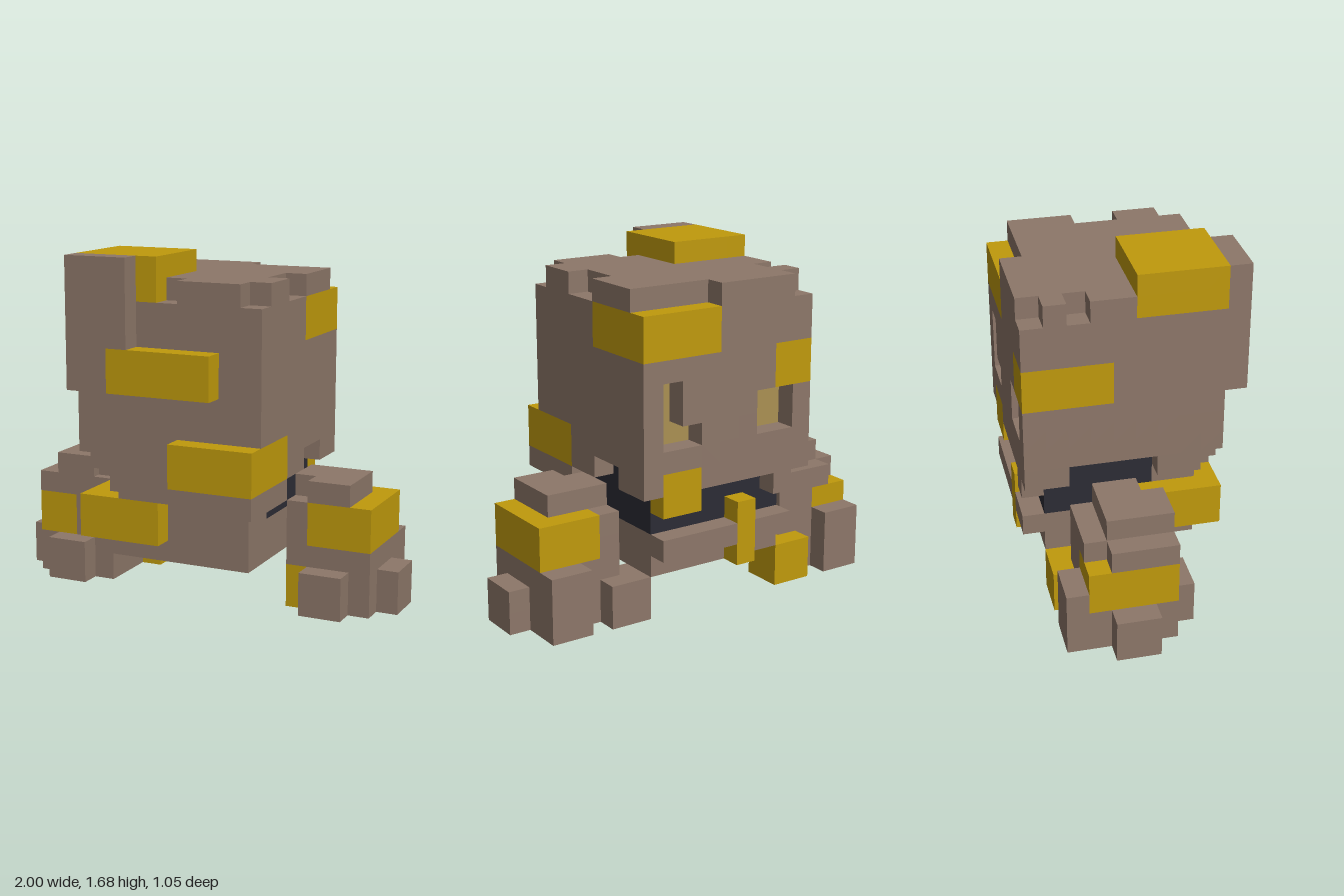
import * as THREE from 'three';

const U = 2 / 19; // size of one block

const mat = (name, color) => {
  const m = new THREE.MeshStandardMaterial({ color });
  m.name = name;
  return m;
};

// Face axes: each axis is paired with the next two as tangents
const axis = (i) => [0, 1, 2].map((k) => (k === i ? 1 : 0));
const FACES = [0, 1, 2].flatMap((i) => {
  const n = axis(i), a = axis((i + 1) % 3), b = axis((i + 2) % 3);
  return [{ n, a, b }, { n: n.map((v) => -v), a: b, b: a }];
});
const CORNERS = [[-1, -1], [1, -1], [1, 1], [-1, -1], [1, 1], [-1, 1]];

// A part made of unit blocks: fill and carve box regions, then keep the outer faces
class BlockPart {
  constructor(name) {
    this.name = name;
    this.cells = new Map();
  }

  // Paints the blocks of a region; a null material carves them away
  fill(m, [x0, x1], [y0, y1], [z0, z1]) {
    for (let x = x0; x < x1; x++)
      for (let y = y0; y < y1; y++)
        for (let z = z0; z < z1; z++) {
          const key = `${x},${y},${z}`;
          if (m) this.cells.set(key, { p: [x, y, z], m });
          else this.cells.delete(key);
        }
    return this;
  }

  carve(x, y, z) {
    return this.fill(null, x, y, z);
  }

  // One mesh per colour
  build() {
    const surfaces = new Map();
    for (const { p, m } of this.cells.values()) {
      if (!surfaces.has(m)) surfaces.set(m, { pos: [], nor: [] });
      const { pos, nor } = surfaces.get(m);
      for (const { n, a, b } of FACES) {
        if (this.cells.has(p.map((v, i) => v + n[i]).join())) continue;
        for (const [s, t] of CORNERS) {
          pos.push(...p.map((v, i) => (v + 0.5 + (n[i] + s * a[i] + t * b[i]) / 2) * U));
          nor.push(...n);
        }
      }
    }
    const group = new THREE.Group();
    group.name = this.name;
    for (const [m, { pos, nor }] of surfaces) {
      const g = new THREE.BufferGeometry();
      g.setAttribute('position', new THREE.Float32BufferAttribute(pos, 3));
      g.setAttribute('normal', new THREE.Float32BufferAttribute(nor, 3));
      const mesh = new THREE.Mesh(g, m);
      mesh.name = `${this.name} ${m.name}`;
      group.add(mesh);
    }
    return group;
  }
}

export function createModel() {
  const stone = mat('stone', 0x8d7769);
  const gold = mat('gold', 0xc09a0c);
  const dark = mat('mouth dark', 0x2c2c35);
  const tan = mat('eye tan', 0xaa9153);
  const model = new THREE.Group();
  model.name = 'blockCreature';

  // Skull, hollow over the mouth, with open cheeks
  const head = new BlockPart('head')
    .fill(stone, [-4.5, 4.5], [6, 15], [-5, 4])
    .carve([-3.5, 3.5], [6, 7], [-4, 1])
    .carve([3.5, 4.5], [6, 7], [-3, -1])
    .carve([-4.5, -3.5], [6, 7], [-3, 1])
    .carve([-4.5, -3.5], [6, 7], [3, 4]);

  // Chips along the top edge
  for (const [x, z] of [
    [[-0.5, 0.5], [3, 4]], [[3.5, 4.5], [3, 4]], [[3.5, 4.5], [-1, 1]],
    [[0.5, 4.5], [-5, -4]], [[-4.5, -3.5], [-5, -4]], [[-4.5, -3.5], [-3, -2]],
  ]) head.carve(x, [14, 15], z);

  // Raised stone plate and gold slabs
  head
    .fill(stone, [-4.5, -1.5], [10, 16], [4, 5])
    .fill(gold, [-4.5, -0.5], [14, 16], [0, 4])
    .fill(gold, [-2.5, 2.5], [10, 12], [4, 5])
    .fill(gold, [0.5, 4.5], [6, 8], [1, 5])
    .fill(gold, [0.5, 4.5], [12, 14], [-5, -1])
    .fill(gold, [-4.5, -2.5], [10, 12], [-5, -1]);

  // Sunken eyes
  for (const [x, y] of [[[2.5, 3.5], [8, 11]], [[1.5, 2.5], [8, 9]], [[-3.5, -1.5], [8, 10]]])
    head.carve(x, y, [-5, -4]).fill(tan, x, y, [-4, -3]);

  // Upper teeth and the skirt under the skull
  head
    .fill(gold, [1.5, 3.5], [5, 7], [-5, -4])
    .fill(stone, [-3.5, -2.5], [5, 6], [-5, -4])
    .fill(stone, [-3.5, 1.5], [5, 6], [1, 3])
    .fill(stone, [-2.5, 1.5], [5, 6], [3, 4])
    .fill(stone, [1.5, 4.5], [5, 6], [1, 5]);
  model.add(head.build());

  model.add(new BlockPart('mouth').fill(dark, [-3.5, 3.5], [4, 7], [-4, 1]).build());

  // Lower jaw with lip, tooth and gold slab
  model.add(new BlockPart('jaw')
    .fill(stone, [-3.5, 3.5], [2, 4], [-4, 3])
    .fill(stone, [-3.5, 3.5], [4, 5], [1, 3])
    .fill(stone, [-3.5, 3.5], [3, 4], [-5, -4])
    .fill(gold, [-1.5, -0.5], [2, 5], [-5, -4])
    .fill(gold, [-4.5, -0.5], [3, 5], [0, 4])
    .build());

  // Leg with stepped shoulder and toes, mirrored for s = -1
  const leg = (name, s, innerToe) => {
    const side = (a, b) => (s > 0 ? [a, b] : [-b, -a]);
    return new BlockPart(name)
      .fill(stone, side(4.5, 8.5), [0, 5], [-3, 1])
      .fill(stone, side(4.5, 5.5), [5, 6], [-2, 0])
      .fill(stone, side(5.5, 7.5), [5, 6], [-2, 1])
      .fill(stone, side(5.5, 7.5), [0, 2], [1, 2])
      .fill(stone, side(8.5, 9.5), [0, 2], [-2, 0])
      .fill(stone, side(6.5, 8.5), [0, 3], [-4, -3])
      .fill(innerToe, side(3.5, 5.5), [0, 2], [-4, -2]);
  };

  model.add(leg('leftLeg', 1, stone)
    .fill(gold, [5.5, 8.5], [3, 5], [-3, 1])
    .fill(gold, [4.5, 7.5], [0, 2], [-1, 1])
    .build());
  model.add(leg('rightLeg', -1, gold)
    .fill(gold, [-8.5, -6.5], [2, 4], [-3, 1])
    .carve([-8.5, -7.5], [4, 5], [-3, -2])
    .build());
  return model;
}
